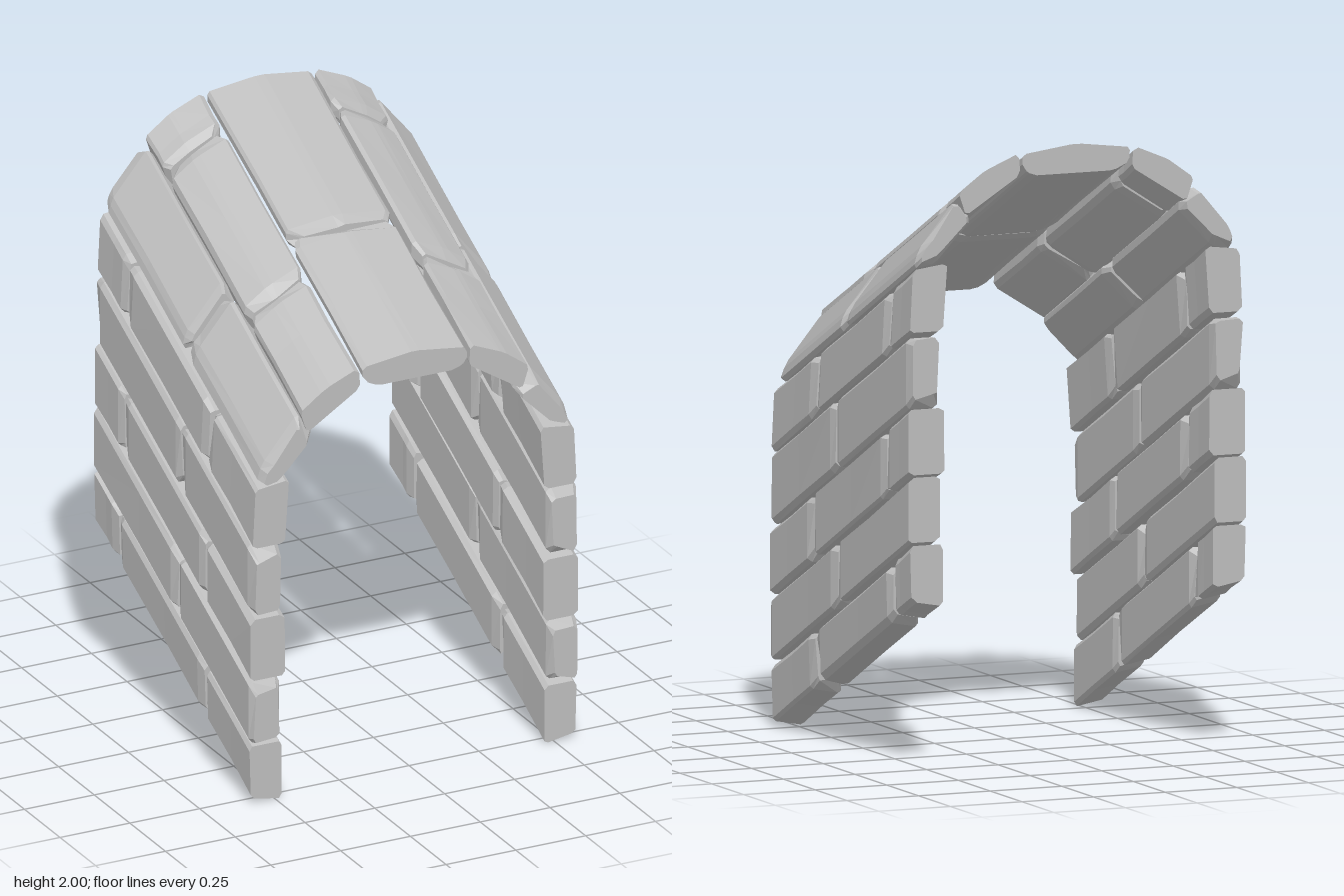
import * as THREE from 'three';

const SLOPE = 0.49; // the whole vault climbs toward the back
const FRONT = 0.54, BACK = -0.55;

const stone = new THREE.MeshStandardMaterial({ color: 0xbcbcbc, flatShading: true });
stone.name = 'grey stone';

// small seeded generator for uneven stone
let seed = 11;
const rand = () => {
  seed = (seed * 16807) % 2147483647;
  return seed / 2147483647;
};

// cut every corner of a polygon
function chamfer(points, size) {
  const out = [];
  points.forEach((p, i) => {
    const n = points.length;
    for (const q of [points[(i + n - 1) % n], points[(i + 1) % n]]) {
      const d = Math.hypot(q[0] - p[0], q[1] - p[1]);
      const t = Math.min(size * (0.6 + 0.8 * rand()) / d, 0.4);
      out.push([p[0] + (q[0] - p[0]) * t, p[1] + (q[1] - p[1]) * t]);
    }
  });
  return out;
}

// one brick: a chamfered section swept from z0 (front) to z1 (back), then sheared
function brick(section, z0, z1, bevelFront, bevelBack) {
  const profile = chamfer(section, 0.014);
  const n = profile.length;
  const cx = profile.reduce((s, p) => s + p[0], 0) / n;
  const cy = profile.reduce((s, p) => s + p[1], 0) / n;
  const ring = (z, inset, chip) => profile.map(([x, y], i) => {
    const dx = cx - x, dy = cy - y, d = Math.hypot(dx, dy);
    const k = Math.min(inset * (0.7 + 0.6 * rand()) / d, 0.4);
    const cut = i >> 1 === chip ? 0.15 : 0;
    return [x + dx * (k + cut), y + dy * (k + cut), z];
  });
  const rings = [];
  const corner = () => Math.floor(rand() * n / 2);
  if (bevelFront) {
    rings.push(ring(z0, 0.02, corner()), ring(z0 - 0.02 - 0.02 * rand(), 0.002, -1));
  } else rings.push(ring(z0, 0, -1));
  rings.push(ring(z0 + (z1 - z0) * (0.4 + 0.2 * rand()), 0.004, -1));
  if (bevelBack) {
    rings.push(ring(z1 + 0.02 + 0.02 * rand(), 0.002, -1), ring(z1, 0.02, corner()));
  } else rings.push(ring(z1, 0, -1));

  const position = [], index = [];
  for (const r of rings) {
    for (const [x, y, z] of r) position.push(x, y + (FRONT - z) * SLOPE, z);
  }
  for (let k = 0; k < rings.length - 1; k++) {
    for (let i = 0; i < n; i++) {
      const a = k * n + i, b = k * n + (i + 1) % n;
      index.push(a, b + n, b, a, a + n, b + n);
    }
  }
  const last = (rings.length - 1) * n;
  for (let i = 1; i < n - 1; i++) {
    index.push(0, i, i + 1, last, last + i + 1, last + i);
  }
  const g = new THREE.BufferGeometry();
  g.setAttribute('position', new THREE.Float32BufferAttribute(position, 3));
  g.setIndex(index);
  const flat = g.toNonIndexed();
  flat.computeVertexNormals();
  return flat;
}

// sections of the left side at the front, counter-clockwise, with joints along z
const COURSES = [
  { name: 'wallCourse1', section: [[0.465, 0.0], [0.575, 0.02], [0.58, 0.2], [0.465, 0.2]], joints: [0.21, -0.39] },
  { name: 'wallCourse2', section: [[0.475, 0.21], [0.585, 0.21], [0.585, 0.42], [0.475, 0.42]], joints: [0.025], front: 0.555 },
  { name: 'wallCourse3', section: [[0.46, 0.428], [0.585, 0.428], [0.585, 0.64], [0.462, 0.64]], joints: [0.21, -0.36] },
  { name: 'wallCourse4', section: [[0.475, 0.648], [0.585, 0.648], [0.585, 0.88], [0.475, 0.88]], joints: [0.035], front: 0.55, back: -0.56 },
  { name: 'wallCourse5', section: [[0.465, 0.888], [0.58, 0.888], [0.57, 1.09], [0.45, 1.105]], joints: [0.21, -0.36] },
  { name: 'shoulderCourse', section: [[0.485, 1.112], [0.56, 1.1], [0.545, 1.16], [0.415, 1.315], [0.355, 1.25]], joints: [0.03], front: 0.555, back: -0.555 },
  { name: 'archCourse', section: [[0.195, 1.375], [0.385, 1.255], [0.41, 1.33], [0.32, 1.395], [0.2, 1.445]], joints: [0.17, -0.41] },
];
const CROWN = [[-0.185, 1.395], [-0.13, 1.37], [0.15, 1.37], [0.188, 1.395],
  [0.188, 1.44], [0.0, 1.465], [-0.188, 1.442]];

function addCourse(parent, name, section, joints, front = FRONT, back = BACK) {
  const course = new THREE.Group();
  course.name = name;
  const stops = [front, ...joints, back];
  for (let i = 0; i < stops.length - 1; i++) {
    const first = i === 0, final = i === stops.length - 2;
    const z0 = first ? front : stops[i] - 0.005;
    const z1 = final ? back : stops[i + 1] + 0.005;
    const mesh = new THREE.Mesh(
      brick(section, z0, z1, !first || front !== FRONT, !final || back !== BACK), stone);
    mesh.name = 'brick' + (i + 1);
    course.add(mesh);
  }
  parent.add(course);
}

export function createModel() {
  seed = 11;
  const model = new THREE.Group();
  model.name = 'slopedBrickVault';

  // both walls and haunches, mirrored with their own unevenness
  for (const side of [1, -1]) {
    const half = new THREE.Group();
    half.name = side > 0 ? 'leftSide' : 'rightSide';
    COURSES.forEach(({ name, section, joints, front, back }, row) => {
      const lean = side < 0 ? Math.max(0, 0.012 - row * 0.004) : 0;
      const s = section.map(([x, y]) => [side * (x + lean), y]);
      if (side < 0) s.reverse();
      addCourse(half, name, s, joints, front, back);
    });
    model.add(half);
  }

  // keystone course along the top
  addCourse(model, 'crownCourse', CROWN, [0.03]);
  return model;
}
